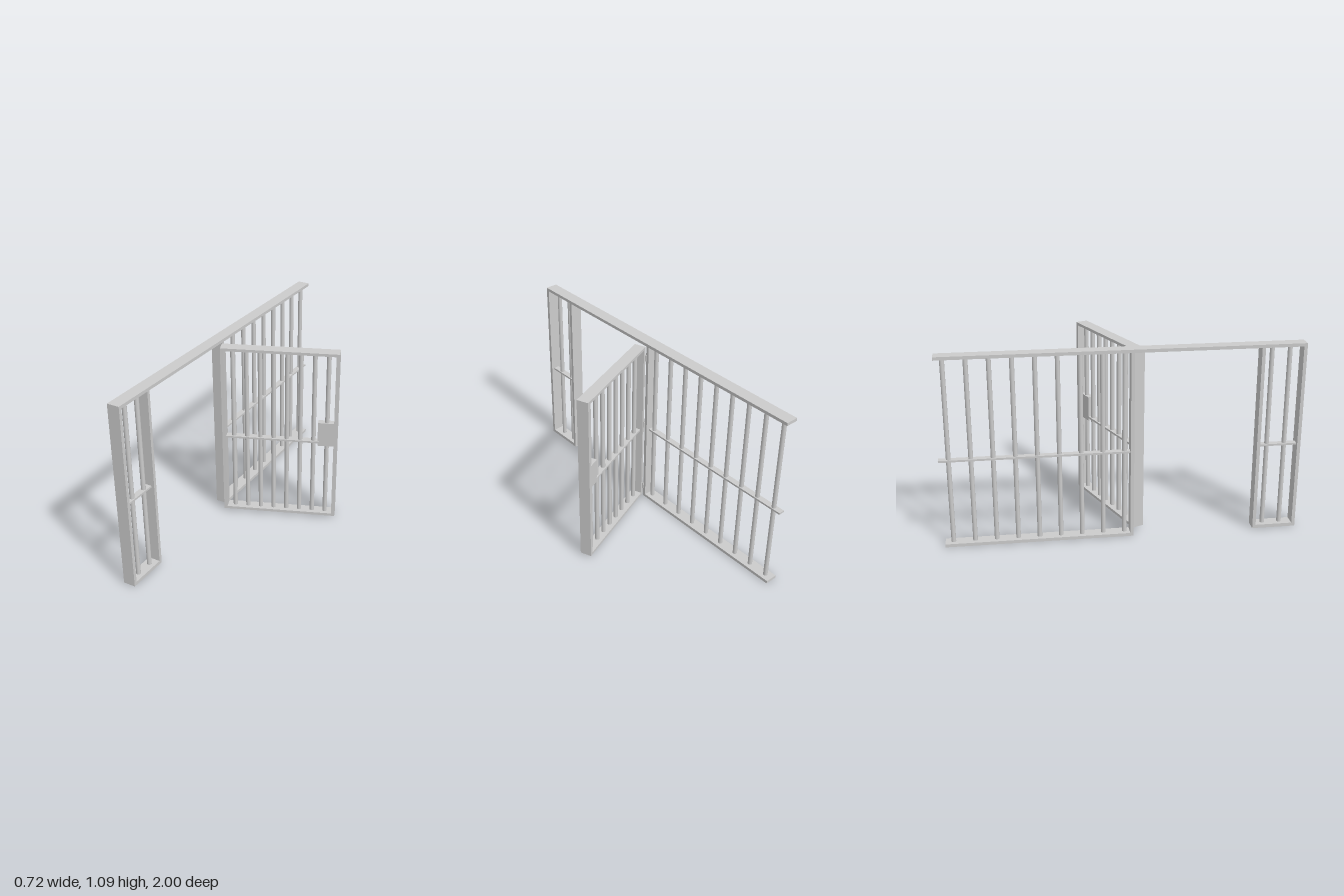
import * as THREE from 'three';

const mat = new THREE.MeshStandardMaterial({ color: 0xcccccc });

// Box given by its min/max ranges on each axis
function box(parent, name, [x0, x1], [y0, y1], [z0, z1]) {
  const m = new THREE.Mesh(new THREE.BoxGeometry(x1 - x0, y1 - y0, z1 - z0), mat);
  m.position.set((x0 + x1) / 2, (y0 + y1) / 2, (z0 + z1) / 2);
  m.name = name;
  parent.add(m);
}

// Upright round bar between two heights
function bar(parent, name, x, z, y0, y1, r = 0.013) {
  const m = new THREE.Mesh(new THREE.CylinderGeometry(r, r, y1 - y0, 16), mat);
  m.position.set(x, (y0 + y1) / 2, z);
  m.name = name;
  parent.add(m);
}

function group(parent, name) {
  const g = new THREE.Group();
  g.name = name;
  parent.add(g);
  return g;
}

export function createModel() {
  const model = new THREE.Group();
  model.name = 'cellBars';

  const wallX = -0.326, wallW = [-0.362, -0.29];
  const midW = [wallX - 0.018, wallX + 0.018], midY = [0.499, 0.51];
  const railTop = 1.075;

  // Long header joining both fixed panels over the doorway
  box(model, 'topRail', wallW, [railTop, 1.093], [-0.99, 1]);

  // Narrow fixed panel on the latch side
  const narrow = group(model, 'narrowPanel');
  box(narrow, 'bottomRail', wallW, [0, 0.02], [0.75, 1]);
  box(narrow, 'outerPost', wallW, [0.02, railTop], [0.981, 1]);
  box(narrow, 'doorPost', wallW, [0.02, railTop], [0.75, 0.769]);
  box(narrow, 'middleRail', midW, midY, [0.769, 0.981]);
  for (const z of [0.915, 0.815]) bar(narrow, 'bar', wallX, z, 0.02, railTop);

  // Wide fixed panel, open at its far end
  const wide = group(model, 'widePanel');
  box(wide, 'bottomRail', wallW, [0, 0.018], [-0.99, 0.06]);
  box(wide, 'hingePost', wallW, [0.018, railTop], [0.041, 0.06]);
  box(wide, 'middleRail', midW, midY, [-1, 0.041]);
  for (let i = 0; i < 9; i++) bar(wide, 'bar', wallX, -0.945 + i * 0.1195, 0.018, railTop);

  // Door, swung ajar about its hinge edge
  const door = group(model, 'door');
  door.position.set(0.0345, 0, -0.0275);
  door.rotation.y = THREE.MathUtils.degToRad(21.85);
  const half = 0.3345, inner = 0.3145, depth = [-0.0345, 0.0345];
  box(door, 'bottomRail', [-inner, inner], [0.013, 0.029], depth);
  box(door, 'topRail', [-inner, inner], [1.056, 1.072], depth);
  box(door, 'hingeStile', [-half, -inner], [0.013, 1.072], depth);
  box(door, 'latchStile', [inner, half], [0.013, 1.072], depth);
  box(door, 'middleRail', [-inner, 0.23], midY, [-0.02, 0.02]);
  for (let i = 0; i < 8; i++) bar(door, 'bar', -0.27 + i * 0.0776, 0, 0.029, 1.056);
  box(door, 'lockBox', [0.221, 0.3185], [0.483, 0.632], [-0.019, 0.019]);

  // Hinge pins between the door and the wide panel
  for (const y of [0.08, 0.54, 1.0]) bar(model, 'hinge', -0.289, 0.061, y - 0.02, y + 0.02, 0.006);

  return model;
}
